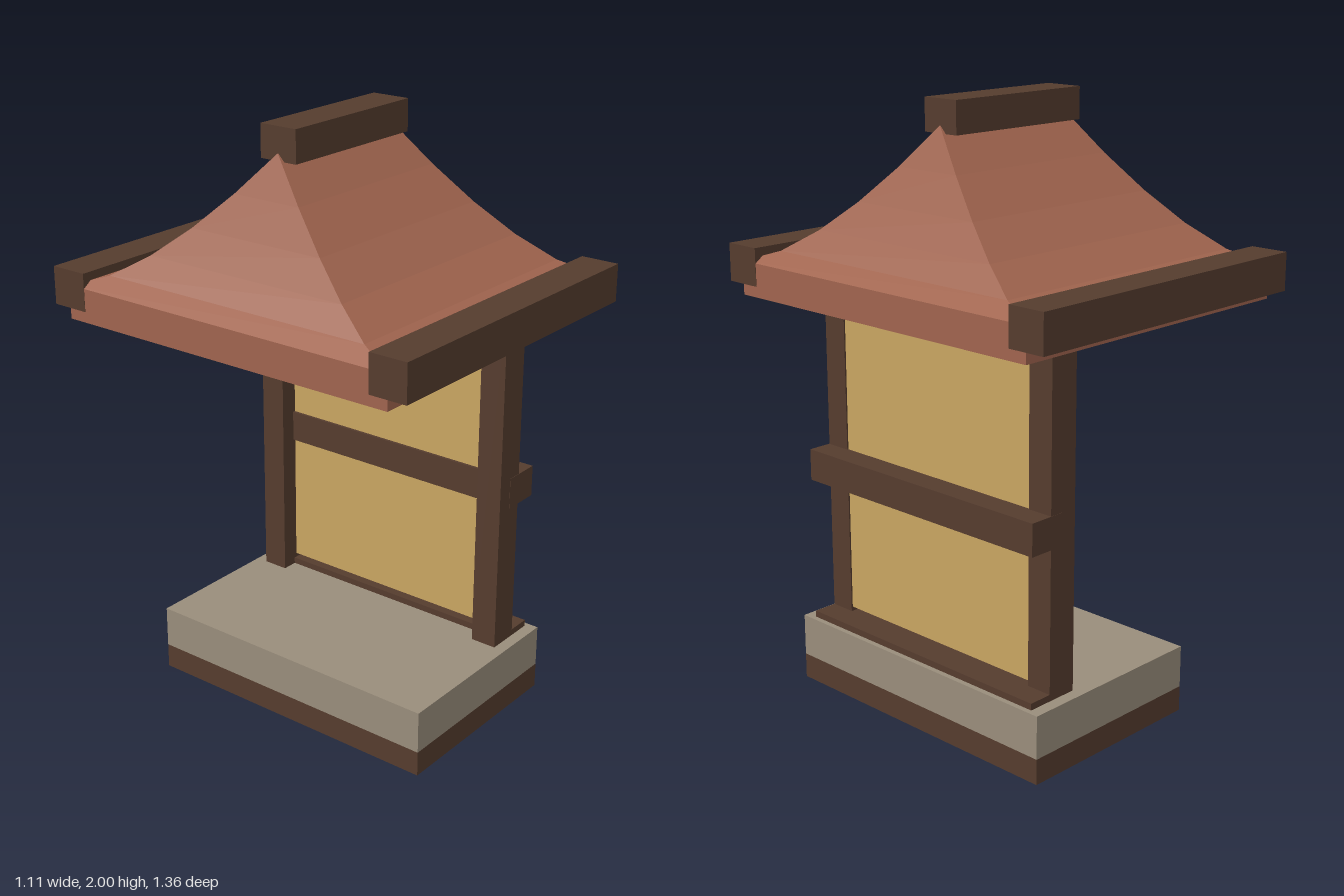
import * as THREE from 'three';

function material(name, color, options = {}) {
  const m = new THREE.MeshStandardMaterial({ color, ...options });
  m.name = name;
  return m;
}

// Hollow hipped roof: rectangular rings sweep down a concave curve, then drop as an eave.
function roofGeometry() {
  const steps = 5, rings = [];
  for (let i = 0; i <= steps; i++) {
    const t = i / steps;
    rings.push([0.275 + 0.28 * t, 1.465 + 0.455 * Math.pow(1 - t, 1.5), 0.617 * t]);
  }
  rings.push([0.555, 1.355, 0.617]);
  const signs = [[1, 1], [1, -1], [-1, -1], [-1, 1]];
  const corner = ([x, y, z], k) => [signs[k % 4][0] * x, y, signs[k % 4][1] * z];
  const positions = [];
  for (let i = 0; i < rings.length - 1; i++) {
    for (let k = 0; k < 4; k++) {
      const a = corner(rings[i + 1], k), b = corner(rings[i + 1], k + 1);
      const c = corner(rings[i], k + 1), d = corner(rings[i], k);
      positions.push(...a, ...b, ...c);
      // The end slopes meet the ridge in a single point
      if (i > 0 || k % 2 === 1) positions.push(...a, ...c, ...d);
    }
  }
  const geometry = new THREE.BufferGeometry();
  geometry.setAttribute('position', new THREE.Float32BufferAttribute(positions, 3));
  geometry.computeVertexNormals();
  return geometry;
}

export function createModel() {
  const model = new THREE.Group();
  model.name = 'roofedShelter';

  const wood = material('dark wood', 0x553c2e);
  const stone = material('stone', 0x998d7b);
  const paper = material('ochre panel', 0xc9a561);
  const tile = material('roof tile', 0xa0644e, { side: THREE.DoubleSide, flatShading: true });

  // Box given by its extents on each axis
  const box = (name, mat, [x0, x1], [y0, y1], [z0, z1]) => {
    const mesh = new THREE.Mesh(new THREE.BoxGeometry(x1 - x0, y1 - y0, z1 - z0), mat);
    mesh.position.set((x0 + x1) / 2, (y0 + y1) / 2, (z0 + z1) / 2);
    mesh.name = name;
    model.add(mesh);
  };

  // Plinth
  box('plinthFoot', wood, [-0.27, 0.42], [0, 0.085], [-0.54, 0.54]);
  box('plinthSlab', stone, [-0.27, 0.42], [0.085, 0.228], [-0.54, 0.54]);

  // Posts and the beams at the eaves
  for (const [side, s] of [['front', 1], ['back', -1]]) {
    const span = (a, b) => (s > 0 ? [a, b] : [-b, -a]);
    box(side + 'Post', wood, [0.215, 0.32], [0.228, 1.46], span(0.41, 0.5));
    box(side + 'EaveBeam', wood, [-0.556, 0.556], [1.39, 1.514], span(0.552, 0.682));
  }

  // Wall panel with sill, middle rail and top rail
  box('wallPanel', paper, [0.28, 0.315], [0.265, 1.4], [-0.41, 0.41]);
  box('sill', wood, [0.27, 0.402], [0.2, 0.25], [-0.5, 0.5]);
  box('middleRail', wood, [0.27, 0.402], [0.72, 0.826], [-0.501, 0.501]);
  box('topRail', wood, [0.27, 0.402], [1.36, 1.46], [-0.499, 0.499]);

  // Roof and ridge
  const roof = new THREE.Mesh(roofGeometry(), tile);
  roof.name = 'roof';
  model.add(roof);
  box('ridgeBeam', wood, [-0.273, 0.273], [1.896, 2], [-0.067, 0.067]);

  return model;
}
